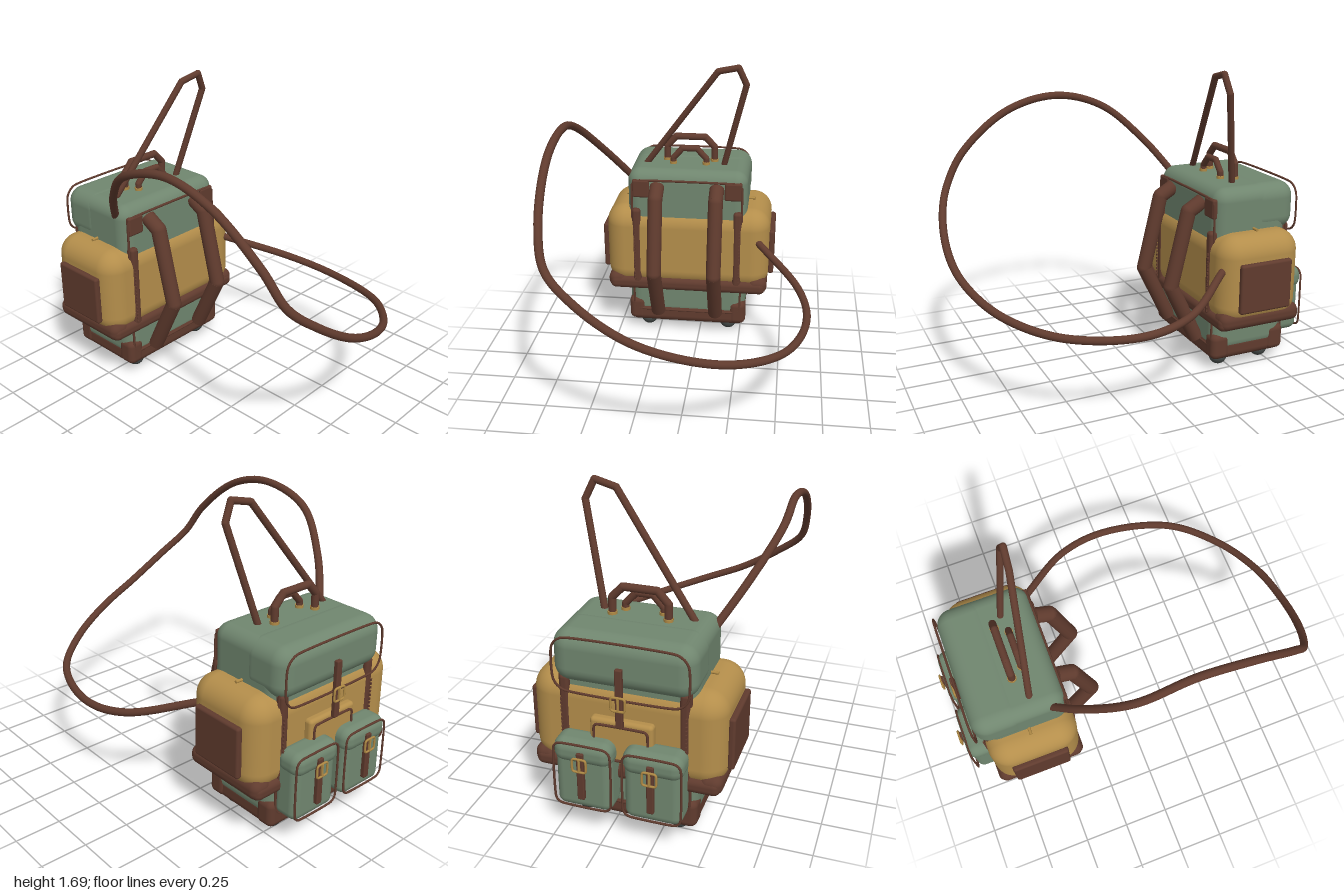
import * as THREE from 'three';
import { RoundedBoxGeometry } from 'three/addons/geometries/RoundedBoxGeometry.js';
import { mergeGeometries } from 'three/addons/utils/BufferGeometryUtils.js';

const material = (color) => new THREE.MeshStandardMaterial({ color });
const V = (p) => new THREE.Vector3(...p);

export function createModel() {
  const model = new THREE.Group();
  model.name = 'backpack';
  const green = material(0x70866f);
  const tan = material(0xb48e4b);
  const leather = material(0x603b2e);
  const brass = material(0xb08a45);
  const rubber = material(0x454a48);
  const CX = -0.075; // middle of the bag
  const SIDES = [-1, 1];

  function add(name, geometry, mat) {
    const mesh = new THREE.Mesh(geometry, mat);
    mesh.name = name;
    model.add(mesh);
    return mesh;
  }

  // Rounded box given by its limits on each axis
  function box(name, mat, [x0, x1], [y0, y1], [z0, z1], r, segments = 5) {
    const g = new RoundedBoxGeometry(x1 - x0, y1 - y0, z1 - z0, segments, r);
    g.translate((x0 + x1) / 2, (y0 + y1) / 2, (z0 + z1) / 2);
    return add(name, g, mat);
  }

  // Straight round rods with ball joints, for belts with sharp bends
  function rods(name, mat, points, r) {
    const parts = [];
    const pts = points.map(V);
    pts.forEach((p, i) => {
      const inner = i > 0 && i < pts.length - 1;
      if (inner) parts.push(new THREE.SphereGeometry(r, 16, 10).translate(p.x, p.y, p.z));
      if (i === 0) return;
      const dir = p.clone().sub(pts[i - 1]);
      const g = new THREE.CylinderGeometry(r, r, dir.length(), 16);
      g.applyQuaternion(new THREE.Quaternion().setFromUnitVectors(V([0, 1, 0]), dir.clone().normalize()));
      const mid = p.clone().add(pts[i - 1]).multiplyScalar(0.5);
      parts.push(g.translate(mid.x, mid.y, mid.z));
    });
    return add(name, mergeGeometries(parts), mat);
  }

  // Thin piping around a rounded rectangle in the plane of z
  function loop(name, mat, [x0, x1], [y0, y1], z, corner, r) {
    const pts = [];
    const centres = [[x1 - corner, y1 - corner], [x0 + corner, y1 - corner],
      [x0 + corner, y0 + corner], [x1 - corner, y0 + corner]];
    centres.forEach(([cx, cy], q) => {
      for (let i = 0; i <= 4; i++) {
        const a = (q + i / 4) * Math.PI / 2;
        pts.push(V([cx + corner * Math.cos(a), cy + corner * Math.sin(a), z]));
      }
    });
    const curve = new THREE.CatmullRomCurve3(pts, true);
    return add(name, new THREE.TubeGeometry(curve, 96, r, 6, true), mat);
  }

  // Strap with its buckle on the back
  function buckleStrap(name, x, [y0, y1], z, buckleY) {
    box(name, leather, [x - 0.018, x + 0.018], [y0, y1], [z - 0.014, z + 0.012], 0.006, 2);
    loop(name + 'Buckle', brass, [x - 0.035, x + 0.035], [buckleY - 0.035, buckleY + 0.035], z - 0.02, 0.012, 0.006);
    box(name + 'BucklePin', brass, [x - 0.005, x + 0.005], [buckleY - 0.035, buckleY + 0.035], [z - 0.026, z - 0.012], 0.003, 1);
  }

  // Bag body, lid and wide middle pouch
  box('mainBody', green, [-0.432, 0.28], [0.1, 1.06], [-0.825, -0.372], 0.075);
  box('lid', green, [-0.435, 0.283], [0.79, 1.063], [-0.875, -0.585], 0.085);
  loop('lidPiping', leather, [-0.41, 0.265], [0.765, 1.045], -0.882, 0.08, 0.006);
  box('middlePouch', tan, [-0.568, 0.418], [0.31, 0.82], [-0.845, -0.35], 0.115, 7);

  // Leather trim under the pouch, raised at its ends
  box('pouchBase', leather, [-0.55, 0.4], [0.29, 0.375], [-0.852, -0.343], 0.035);
  for (const s of SIDES) {
    const x = CX + s * 0.425;
    box('pouchBaseEnd', leather, [x - 0.06, x + 0.06], [0.29, 0.395], [-0.848, -0.347], 0.045);
  }

  // Base with corner guards and wheels
  box('base', leather, [-0.43, 0.276], [0.06, 0.185], [-0.828, -0.367], 0.045);
  for (const s of SIDES) {
    for (const z of [-0.775, -0.42]) {
      const x = CX + s * 0.308;
      box('baseCorner', leather, [x - 0.052, x + 0.052], [0.07, 0.222], [z - 0.056, z + 0.056], 0.035);
    }
    for (const z of [-0.73, -0.46]) {
      add('wheel', new THREE.SphereGeometry(0.052, 20, 14).translate(CX + s * 0.25, 0.052, z), rubber);
    }
  }

  // Piping of the body, with guards on the upper front corners
  for (const z of [-0.826, -0.37]) loop('bodyPiping', leather, [-0.4, 0.248], [0.15, 1.0], z, 0.025, 0.007);
  for (const s of SIDES) {
    const x = CX + s * 0.273;
    box('upperCorner', leather, [x - 0.051, x + 0.051], [0.895, 1.005], [-0.42, -0.36], 0.012, 3);
  }

  // Pouch seam strips with stitches, and the patches on both ends
  for (const s of SIDES) {
    const x = CX + s * 0.302;
    for (const [z, out] of [[-0.375, 1], [-0.82, -1]]) {
      box('seamStrip', leather, [x - 0.025, x + 0.025], [0.3, 0.825], [z - 0.03, z + 0.03], 0.018, 3);
      const stitches = [];
      for (let i = 0; i < 16; i++) {
        stitches.push(new THREE.BoxGeometry(0.008, 0.012, 0.008)
          .translate(x + 0.012 * s, 0.37 + i * 0.022, z + out * 0.034));
      }
      add('stitches', mergeGeometries(stitches), leather);
    }
    const px = CX + s * 0.503;
    box('sidePatch', leather, [px - 0.018, px + 0.018], [0.4, 0.682], [-0.755, -0.438], 0.014, 3);
    const pin = new THREE.CylinderGeometry(0.008, 0.008, 0.05, 10).rotateZ(Math.PI / 2);
    add('pouchPin', pin.translate(CX + s * 0.37, 0.828, -0.6), brass);
  }

  // Raised panel on the back
  box('backPanel', tan, [CX - 0.16, CX + 0.16], [0.42, 0.645], [-0.885, -0.83], 0.02, 3);
  loop('backPanelPiping', leather, [CX - 0.135, CX + 0.135], [0.43, 0.615], -0.887, 0.02, 0.007);
  buckleStrap('lidStrap', CX, [0.62, 0.93], -0.893, 0.755);

  // Two back pockets with flaps
  for (const s of SIDES) {
    const x = CX + s * 0.176;
    box('pocket', green, [x - 0.145, x + 0.145], [0.155, 0.5], [-0.952, -0.8], 0.045);
    box('pocketFlap', green, [x - 0.152, x + 0.152], [0.41, 0.54], [-0.968, -0.81], 0.055);
    loop('pocketPiping', leather, [x - 0.145, x + 0.145], [0.172, 0.52], -0.956, 0.04, 0.006);
    buckleStrap('pocketStrap', x, [0.23, 0.49], -0.967, 0.43);
  }

  // Shoulder straps
  for (const s of SIDES) {
    const x = CX + s * 0.176;
    rods('shoulderStrap', leather, [[x, 0.965, -0.375], [x, 0.915, -0.29], [x, 0.487, -0.188], [x, 0.155, -0.35]], 0.043);
  }

  // Two carry handles with brass ferrules
  for (const [half, top, z, r] of [[0.142, 1.207, -0.595, 0.02], [0.098, 1.155, -0.53, 0.018]]) {
    const path = [[-half, 1.03], [-half, top - 0.06], [-half + 0.055, top], [half - 0.055, top], [half, top - 0.06], [half, 1.03]];
    rods('carryHandle', leather, path.map(([x, y]) => [CX + x, y, z]), r);
    for (const s of SIDES) {
      add('ferrule', new THREE.CylinderGeometry(r + 0.004, r + 0.004, 0.03, 16).translate(CX + s * half, 1.06, z), brass);
    }
  }

  // Tall pull loop
  rods('pullLoop', leather, [[-0.35, 1.03, -0.548], [0.095, 1.642, -0.44], [0.21, 1.668, -0.428], [0.255, 1.57, -0.44], [0.122, 1.03, -0.548]], 0.018);

  // Long swinging strap
  const swing = new THREE.CatmullRomCurve3([
    [-0.38, 0.95, -0.49], [-0.535, 1.2, -0.31], [-0.64, 1.4, -0.09], [-0.645, 1.48, 0.2], [-0.648, 1.41, 0.5],
    [-0.625, 1.2, 0.77], [-0.58, 1.03, 0.88], [-0.44, 0.9, 0.945], [-0.21, 0.75, 0.976], [0.03, 0.65, 0.95],
    [0.3, 0.56, 0.835], [0.535, 0.505, 0.61], [0.642, 0.485, 0.24], [0.59, 0.52, -0.05], [0.345, 0.637, -0.38],
  ].map(V));
  add('longStrap', new THREE.TubeGeometry(swing, 140, 0.021, 12), leather);
  for (const t of [0, 1]) {
    const p = swing.getPoint(t);
    add('longStrapEnd', new THREE.SphereGeometry(0.021, 12, 8).translate(p.x, p.y, p.z), leather);
  }

  return model;
}
